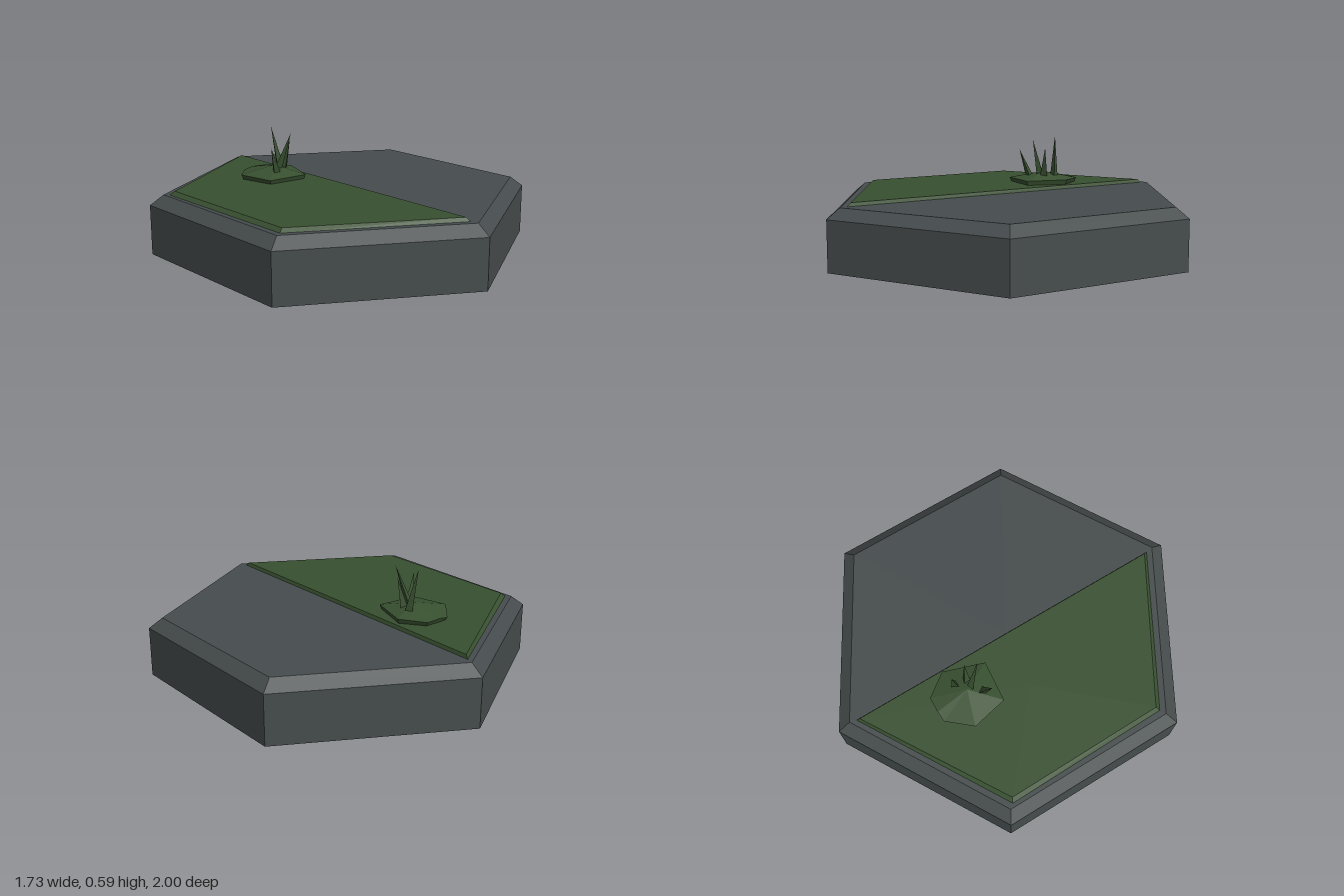
import * as THREE from 'three';

const stone = new THREE.MeshStandardMaterial({ name: 'slate stone', color: 0x464c4d, flatShading: true });
const grass = new THREE.MeshStandardMaterial({ name: 'moss green', color: 0x385030, flatShading: true });

// Faceted solid through rings of [x, y, z], counter-clockwise from above, closed by a fan to the apex
function loft(rings, apex) {
  const pos = [];
  const tri = (a, b, c) => pos.push(...a, ...b, ...c);
  const n = rings[0].length;
  for (let i = 0; i < n; i++) {
    const j = (i + 1) % n;
    for (let k = 0; k + 1 < rings.length; k++) {
      const lo = rings[k], hi = rings[k + 1];
      tri(lo[i], lo[j], hi[j]);
      tri(lo[i], hi[j], hi[i]);
    }
    const top = rings[rings.length - 1];
    tri(top[i], top[j], apex);
  }
  const g = new THREE.BufferGeometry();
  g.setAttribute('position', new THREE.Float32BufferAttribute(pos, 3));
  g.computeVertexNormals();
  return g;
}

export function createModel() {
  const model = new THREE.Group();
  model.name = 'hexTile';
  const add = (name, geometry, material) => {
    const mesh = new THREE.Mesh(geometry, material);
    mesh.name = name;
    model.add(mesh);
    return mesh;
  };

  // Hexagonal stone slab with a bevelled top edge
  const profile = [[0, 0], [1, 0], [1, 0.26], [0.93, 0.312], [0, 0.312]];
  add('stoneBase', new THREE.LatheGeometry(profile.map(p => new THREE.Vector2(...p)), 6), stone);

  // Thin grass patch over the front left half of the top
  const level = (points, y) => points.map(([x, z]) => [x, y, z]);
  const patchLow = level([[-0.78, -0.44], [-0.775, 0.46], [0, 0.895], [0.768, 0.452]], 0.311);
  const patchHigh = level([[-0.768, -0.425], [-0.752, 0.445], [0, 0.87], [0.745, 0.447]], 0.33);
  add('grassPatch', loft([patchLow, patchHigh], [-0.2, 0.33, 0.25]), grass);

  // Low faceted mound
  const cx = -0.39, cz = -0.005;
  const rim = [
    [-0.555, 0.355, -0.09], [-0.58, 0.345, -0.04], [-0.53, 0.355, 0.115], [-0.34, 0.352, 0.175],
    [-0.21, 0.354, -0.005], [-0.36, 0.356, -0.175], [-0.51, 0.352, -0.16],
  ];
  const foot = rim.map(([x, , z]) => [cx + (x - cx) * 0.93, 0.328, cz + (z - cz) * 0.93]);
  add('moundBush', loft([foot, rim], [-0.39, 0.392, -0.01]), grass);

  // Pointed grass blades: base x, z and tip x, y, z
  const blades = [
    [-0.39, -0.08, -0.43, 0.59, -0.065],
    [-0.35, -0.04, -0.32, 0.53, -0.06],
    [-0.37, 0.0, -0.29, 0.575, 0.0],
    [-0.355, 0.055, -0.355, 0.51, 0.118],
  ];
  blades.forEach(([x, z, tx, ty, tz], i) => {
    const ring = [0, 1, 2].map(k => {
      const a = i * 0.7 + k * Math.PI * 2 / 3;
      return [x + Math.sin(a) * 0.024, 0.365, z + Math.cos(a) * 0.024];
    });
    add('grassBlade' + (i + 1), loft([ring], [tx, ty, tz]), grass);
  });

  return model;
}
